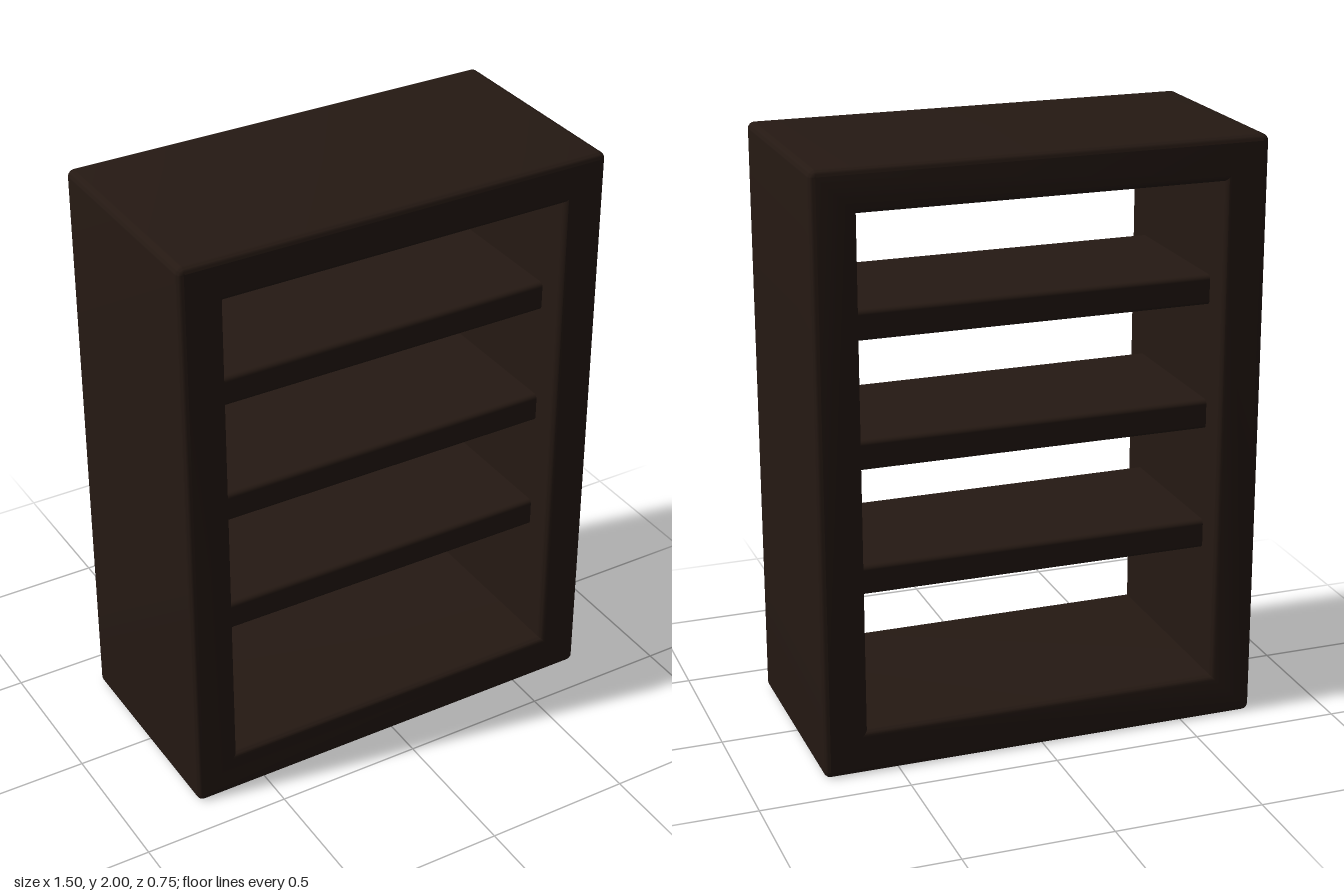
import * as THREE from 'three';
import { toCreasedNormals } from 'three/addons/utils/BufferGeometryUtils.js';
import { RoundedBoxGeometry } from 'three/addons/geometries/RoundedBoxGeometry.js';

const WIDTH = 1.5, HEIGHT = 2, DEPTH = 0.75, BEVEL = 0.02;

// Rectangle with rounded corners, standing on y = 0
function roundedOutline(w, h, r) {
  const s = new THREE.Shape();
  s.absarc(w / 2 - r, r, r, -Math.PI / 2, 0);
  s.absarc(w / 2 - r, h - r, r, 0, Math.PI / 2);
  s.absarc(-w / 2 + r, h - r, r, Math.PI / 2, Math.PI);
  s.absarc(-w / 2 + r, r, r, Math.PI, Math.PI * 1.5);
  s.closePath();
  return s;
}

export function createModel() {
  const group = new THREE.Group();
  group.name = 'bookcase';
  const wood = new THREE.MeshStandardMaterial({ color: 0x251913 });

  // Thick case, open at the front and the back, with softened edges
  const outline = roundedOutline(WIDTH, HEIGHT, BEVEL + 0.003);
  outline.holes.push(new THREE.Path([
    new THREE.Vector2(-0.603, 0.15), new THREE.Vector2(-0.603, 1.857),
    new THREE.Vector2(0.603, 1.857), new THREE.Vector2(0.603, 0.15),
  ]));
  const caseGeometry = new THREE.ExtrudeGeometry(outline, {
    depth: DEPTH - 2 * BEVEL, curveSegments: 4,
    bevelEnabled: true, bevelThickness: BEVEL, bevelSize: BEVEL,
    bevelOffset: -BEVEL, bevelSegments: 4,
  });
  caseGeometry.translate(0, 0, -DEPTH / 2 + BEVEL);
  const frame = new THREE.Mesh(toCreasedNormals(caseGeometry, 0.6), wood);
  frame.name = 'case';
  group.add(frame);

  // Three shelves set back from both openings, ends let into the sides
  const shelfGeometry = new RoundedBoxGeometry(1.25, 0.1, 0.55, 3, 0.015);
  [0.63, 1.053, 1.478].forEach((y, i) => {
    const shelf = new THREE.Mesh(shelfGeometry, wood);
    shelf.name = `shelf${i + 1}`;
    shelf.position.y = y;
    group.add(shelf);
  });

  return group;
}
